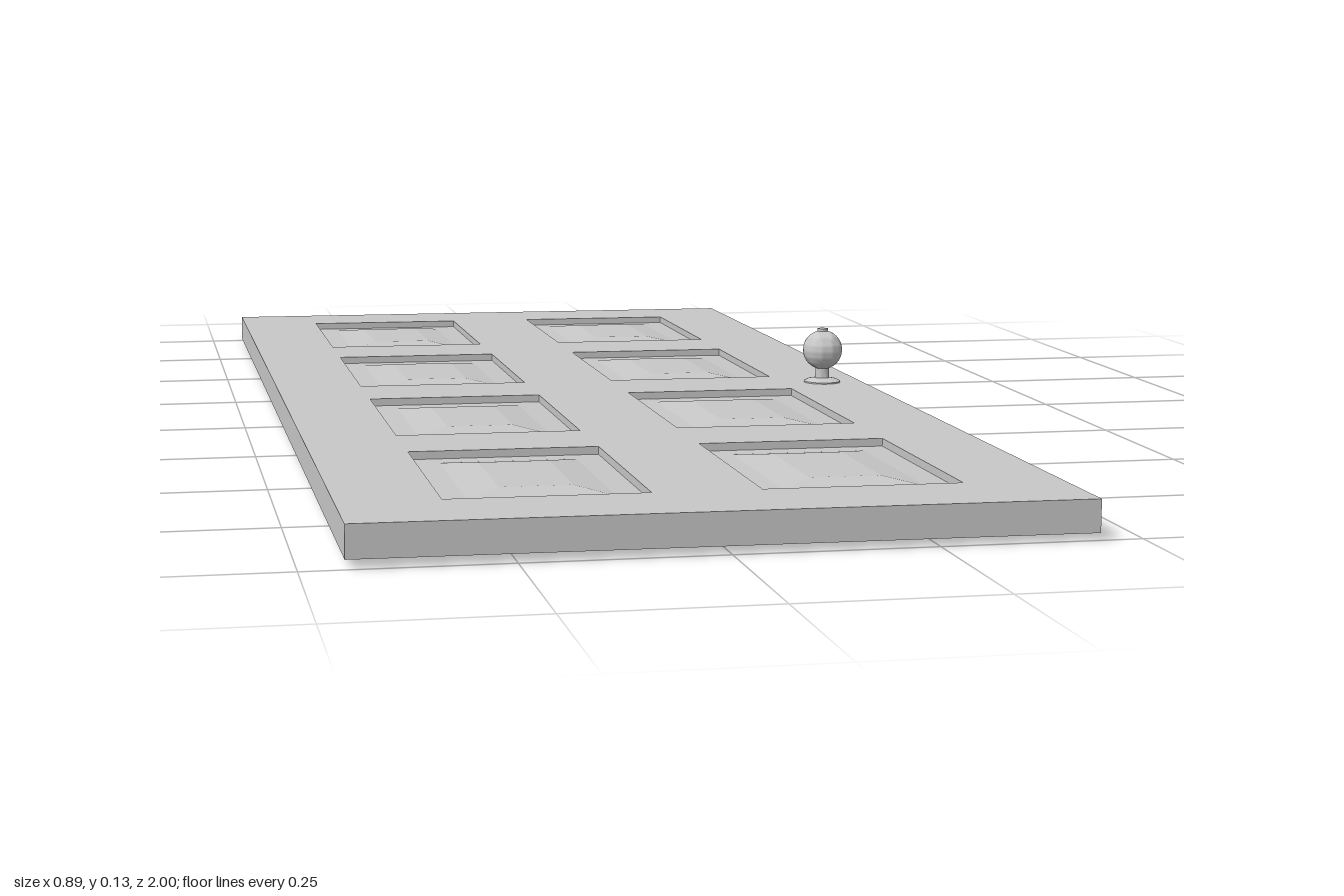
import * as THREE from 'three';
import { toCreasedNormals } from 'three/addons/utils/BufferGeometryUtils.js';

const WIDTH = 0.894, LENGTH = 2, THICK = 0.041;
const PANEL_W = 0.252, PANEL_L = 0.336;

const rectangle = (path, cx, cy, w, h) => {
  path.moveTo(cx - w / 2, cy - h / 2);
  path.lineTo(cx + w / 2, cy - h / 2);
  path.lineTo(cx + w / 2, cy + h / 2);
  path.lineTo(cx - w / 2, cy + h / 2);
  path.closePath();
  return path;
};

// Stacks rectangular rings [inset, y], from top to bottom, into a closed bevelled slab
function bevelledSlab(rings, w, l) {
  const corners = rings.map(([inset, y]) =>
    [[-1, -1], [-1, 1], [1, 1], [1, -1]].map(([sx, sz]) => [sx * (w / 2 - inset), y, sz * (l / 2 - inset)]));
  const pos = [];
  const quad = (a, b, c, d) => [a, b, c, a, c, d].forEach((p) => pos.push(...p));
  quad(...corners[0]);
  for (let r = 0; r + 1 < corners.length; r++) {
    const a = corners[r], b = corners[r + 1];
    for (let i = 0; i < 4; i++) {
      const j = (i + 1) % 4;
      quad(a[i], b[i], b[j], a[j]);
    }
  }
  quad(...[...corners[corners.length - 1]].reverse());
  const geo = new THREE.BufferGeometry();
  geo.setAttribute('position', new THREE.Float32BufferAttribute(pos, 3));
  geo.computeVertexNormals();
  return geo;
}

export function createModel() {
  const model = new THREE.Group();
  model.name = 'panelDoor';
  const grey = new THREE.MeshStandardMaterial({ color: 0xc8c8c8 });
  grey.name = 'light grey';

  const add = (geo, name, x, y, z) => {
    const mesh = new THREE.Mesh(geo, grey);
    mesh.name = name;
    mesh.position.set(x, y, z);
    model.add(mesh);
  };

  // Panel centres: two columns, four rows
  const centres = [];
  for (const x of [-0.194, 0.194])
    for (let row = 0; row < 4; row++) centres.push([x, (row - 1.5) * 0.47 - 0.003]);

  // Door frame with a rectangular opening for every panel
  const outline = rectangle(new THREE.Shape(), 0, 0, WIDTH, LENGTH);
  for (const [x, z] of centres) outline.holes.push(rectangle(new THREE.Path(), x, -z, PANEL_W, PANEL_L));
  const frame = new THREE.ExtrudeGeometry(outline, { depth: THICK, bevelEnabled: false });
  frame.rotateX(-Math.PI / 2).translate(0, -THICK / 2, 0);
  add(frame, 'doorFrame', 0, 0, 0);

  // Recessed panels, raised in the middle on both faces
  const upper = [[0.08, 0.018], [0.036, 0.011], [0, 0.01]];
  const lower = upper.map(([inset, y]) => [inset, -y]).reverse();
  const panel = bevelledSlab([...upper, ...lower], PANEL_W, PANEL_L);
  centres.forEach(([x, z], i) => add(panel, `panel${i + 1}`, x, 0, z));

  // Door knob: rose, neck, ball and a small button on the end
  const profile = [[0, 0], [0.028, 0], [0.028, 0.002], [0.022, 0.005], [0.011, 0.007], [0.01, 0.022]];
  const R = 0.03, BALL_Y = 0.05;
  for (let i = 0; i <= 16; i++) {
    const a = THREE.MathUtils.lerp(-1.23, 1.3, i / 16);
    profile.push([R * Math.cos(a), BALL_Y + R * Math.sin(a)]);
  }
  profile.push([0.008, 0.083], [0, 0.083]);
  const knob = new THREE.LatheGeometry(profile.map(([r, y]) => new THREE.Vector2(r, y)), 32);
  add(toCreasedNormals(knob, 0.6), 'doorKnob', 0.386, THICK / 2, 0);

  // The door lies almost flat, very slightly tipped
  model.rotation.set(-0.0045, 0, -0.003);
  model.position.y = 0.0265;
  const root = new THREE.Group();
  root.name = 'door';
  root.add(model);
  return root;
}
